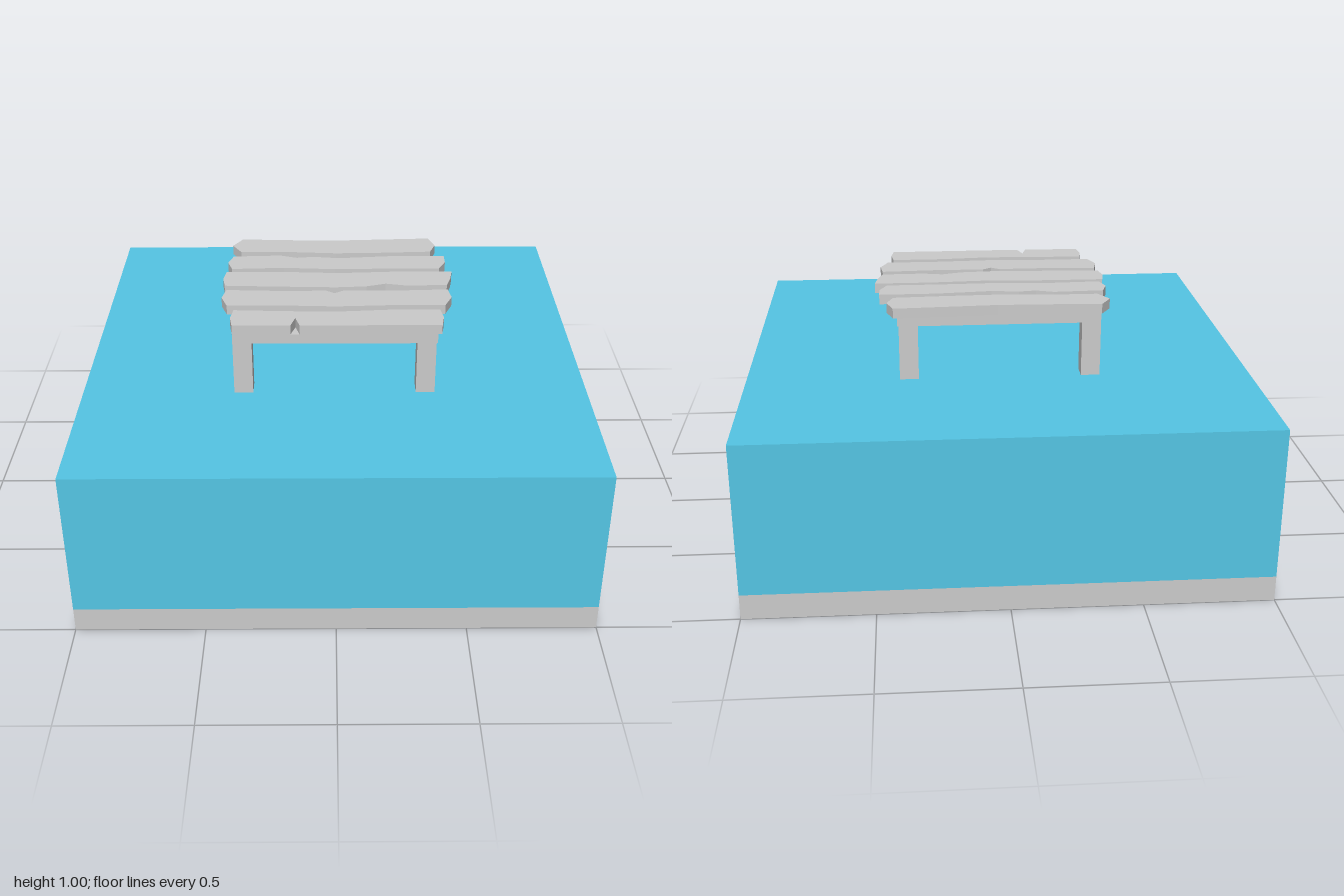
import * as THREE from 'three';

const grey = new THREE.MeshStandardMaterial({ color: 0xcccccc, flatShading: true });
const blue = new THREE.MeshStandardMaterial({ color: 0x55c6e5, flatShading: true });

// Box given by its lower and upper corners
function box(name, min, max, material = grey) {
  const [w, h, d] = max.map((v, i) => v - min[i]);
  const mesh = new THREE.Mesh(new THREE.BoxGeometry(w, h, d), material);
  mesh.position.set(min[0] + w / 2, min[1] + h / 2, min[2] + d / 2);
  mesh.name = name;
  return mesh;
}

// Long edge of a plank: evenly spaced z values from x0 to x1, with an optional V notch
function longEdge(x0, x1, zs, notch) {
  const n = zs.length - 1;
  const points = zs.map((z, i) => new THREE.Vector2(x0 + ((x1 - x0) * i) / n, z));
  if (!notch) return points;
  const lip = (x) => {
    const t = ((x - x0) / (x1 - x0)) * n;
    const i = Math.floor(t);
    return new THREE.Vector2(x, THREE.MathUtils.lerp(zs[i], zs[i + 1], t - i));
  };
  const { x, z, half } = notch;
  return points
    .filter((p) => Math.abs(p.x - x) > half)
    .concat(lip(x - half), new THREE.Vector2(x, z), lip(x + half))
    .sort((a, b) => a.x - b.x);
}

// Worn plank: two wavy edges and bent ends (x at back, middle, front), extruded down from the deck surface
function plank(name, { left, right, back, front, backNotch, frontNotch }) {
  const middle = (back[0] + front[0]) / 2;
  const shape = new THREE.Shape([
    ...longEdge(left[0], right[0], back, backNotch),
    new THREE.Vector2(right[1], middle),
    ...longEdge(left[2], right[2], front, frontNotch).reverse(),
    new THREE.Vector2(left[1], middle),
  ]);
  const geometry = new THREE.ExtrudeGeometry(shape, { depth: 0.04, bevelEnabled: false });
  geometry.rotateX(Math.PI / 2).translate(0, 1, 0);
  const mesh = new THREE.Mesh(geometry, grey);
  mesh.name = name;
  return mesh;
}

// Planks, back to front
const planks = [
  { left: [-0.4, -0.44, -0.4], right: [0.415, 0.44, 0.415],
    back: [-0.415, -0.405, -0.4, -0.41, -0.42], front: [-0.28, -0.28, -0.265, -0.27, -0.28] },
  { left: [-0.43, -0.45, -0.43], right: [0.47, 0.47, 0.44],
    back: [-0.235, -0.245, -0.215, -0.235, -0.235], front: [-0.11, -0.12, -0.105, -0.11, -0.11],
    backNotch: { x: -0.16, z: -0.22, half: 0.07 } },
  { left: [-0.45, -0.46, -0.45], right: [0.49, 0.48, 0.46],
    back: [-0.08, -0.08, -0.067, -0.08, -0.08], front: [0.05, 0.06, 0.068, 0.053, 0.05],
    frontNotch: { x: 0.21, z: 0.035, half: 0.08 } },
  { left: [-0.44, -0.455, -0.43], right: [0.46, 0.47, 0.44],
    back: [0.09, 0.1, 0.098, 0.1, 0.09], front: [0.23, 0.23, 0.24, 0.23, 0.23],
    backNotch: { x: 0, z: 0.122, half: 0.035 } },
  { left: [-0.4, -0.41, -0.4], right: [0.415, 0.425, 0.415],
    back: [0.27, 0.28, 0.285, 0.27, 0.27], front: [0.4, 0.4, 0.402, 0.4, 0.4],
    frontNotch: { x: -0.155, z: 0.34, half: 0.018 } },
];

export function createModel() {
  const model = new THREE.Group();
  model.name = 'dockOnWater';

  // Ground slab and block of water
  model.add(box('groundSlab', [-1, 0, -1], [1, 0.1, 1]));
  model.add(box('water', [-1, 0.1, -1], [1, 0.7, 1], blue));

  const dock = new THREE.Group();
  dock.name = 'dock';
  model.add(dock);

  // Posts standing on the ground slab, and the frame they carry
  for (const [side, x] of [['right', -0.4], ['left', 0.32]]) {
    const x1 = x + 0.075;
    dock.add(box(`${side}Rail`, [x, 0.92, -0.325], [x1, 0.96, 0.325]));
    for (const [end, z] of [['Back', -0.4], ['Front', 0.325]])
      dock.add(box(`${side}${end}Post`, [x, 0.1, z], [x1, 0.92, z + 0.075]));
  }
  for (const [end, z] of [['back', -0.4], ['front', 0.325]])
    dock.add(box(`${end}Beam`, [-0.4, 0.92, z], [0.4, 0.96, z + 0.075]));

  // Deck
  planks.forEach((spec, i) => dock.add(plank(`plank${i + 1}`, spec)));
  return model;
}
